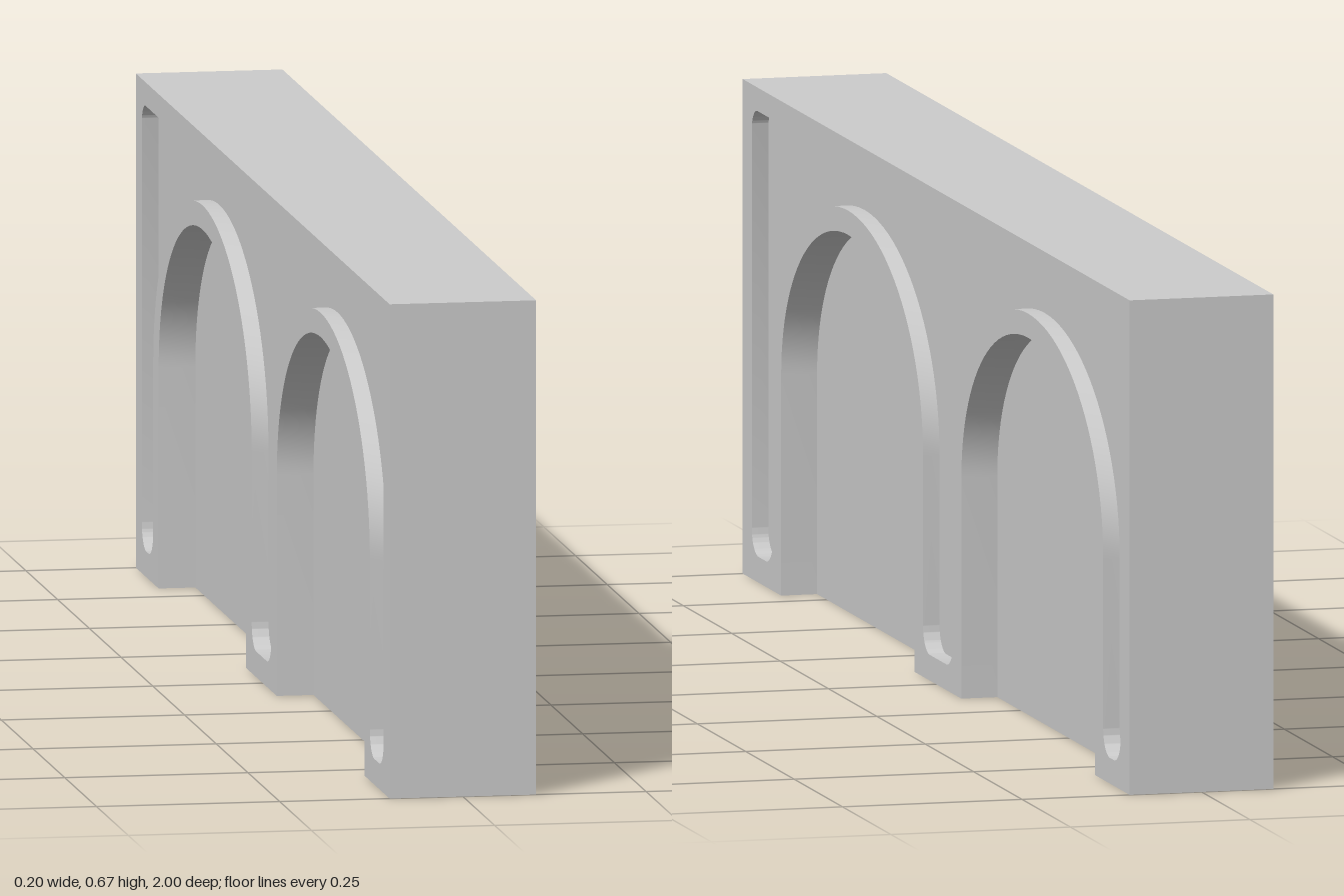
import * as THREE from 'three';
import { toCreasedNormals } from 'three/addons/utils/BufferGeometryUtils.js';

const HEIGHT = 0.673, HALF = 0.1;            // wall height, half thickness
const ARCH_X = 0.05, PANEL_X = 0.077;        // distance of recess floors from the mid-plane
const SPRING = 0.3, SEG = 24;
const CENTRES = [0.456, -0.475];             // arch centres along z
const ARCH = { a: 0.345, h: 0.243 };         // arch opening
const TRIM = { a: 0.388, h: 0.276 };         // outer edge of the raised arch band
const PANEL = { z: 0.953, bottom: 0.035, top: 0.641 };

const material = new THREE.MeshStandardMaterial({ color: 0xcccccc });

function addMesh(parent, name, geometry) {
  const mesh = new THREE.Mesh(geometry, material);
  mesh.name = name;
  parent.add(mesh);
  return mesh;
}

// Wall of a recess: a strip along a counter-clockwise contour, facing inwards
function recessWall(points, top, floor) {
  const pos = [];
  for (let i = 0; i < points.length - 1; i++) {
    const a = points[i], b = points[i + 1];
    if (a.distanceTo(b) < 1e-6) continue;
    pos.push(a.x, a.y, top, b.x, b.y, top, b.x, b.y, floor);
    pos.push(a.x, a.y, top, b.x, b.y, floor, a.x, a.y, floor);
  }
  const geometry = new THREE.BufferGeometry();
  geometry.setAttribute('position', new THREE.Float32BufferAttribute(pos, 3));
  return toCreasedNormals(geometry, 0.6);
}

// Arched opening, standing on the ground
function archShape(c) {
  const s = new THREE.Shape();
  s.moveTo(c + ARCH.a, 0);
  s.lineTo(c + ARCH.a, SPRING);
  s.absellipse(c, SPRING, ARCH.a, ARCH.h, 0, Math.PI, false);
  s.lineTo(c - ARCH.a, 0);
  return s;
}

// Sunken spandrel panel running around the arches and down between them
function panelShape(centres) {
  const s = new THREE.Shape(), P = Math.PI, { z, bottom, top } = PANEL;
  const edges = [-z, ...centres.flatMap(c => [c - TRIM.a, c + TRIM.a]), z];
  for (let i = 0; i < 3; i++) {
    const u0 = edges[2 * i], u1 = edges[2 * i + 1], r = 0.035;
    s.absarc(u0 + r, bottom + r, r, P, 1.5 * P, false);
    s.absarc(u1 - r, bottom + r, r, -P / 2, 0, false);
    if (i < 2) s.absellipse(centres[i], SPRING, TRIM.a, TRIM.h, P, 0, true);
  }
  const r = 0.03;
  s.absarc(z - r, top - r, r, 0, P / 2, false);
  s.absarc(r - z, top - r, r, P / 2, P, false);
  s.closePath();
  return s;
}

// One decorated long side; sign +1 looks to +x, -1 to -x
function makeSide(sign) {
  const side = new THREE.Group();
  side.name = sign > 0 ? 'leftSide' : 'rightSide';
  const centres = CENTRES.map(z => -sign * z).sort((p, q) => p - q);

  const panel = panelShape(centres);
  const face = new THREE.Shape();
  face.moveTo(-1, 0);
  for (const c of centres) {
    face.lineTo(c - ARCH.a, 0);
    face.absellipse(c, SPRING, ARCH.a, ARCH.h, Math.PI, 0, true);
    face.lineTo(c + ARCH.a, 0);
  }
  face.lineTo(1, 0);
  face.lineTo(1, HEIGHT);
  face.lineTo(-1, HEIGHT);
  face.closePath();
  face.holes.push(panel);
  addMesh(side, 'raisedFrame', new THREE.ShapeGeometry(face, SEG)).position.z = HALF;

  addMesh(side, 'panelFloor', new THREE.ShapeGeometry(panel, SEG)).position.z = PANEL_X;
  addMesh(side, 'panelEdge', recessWall(panel.getPoints(SEG), HALF, PANEL_X));

  for (const c of centres) {
    const arch = archShape(c);
    addMesh(side, 'archBack', new THREE.ShapeGeometry(arch, SEG)).position.z = ARCH_X;
    addMesh(side, 'archReveal', recessWall(arch.getPoints(SEG), HALF, ARCH_X));
  }
  side.rotation.y = sign * Math.PI / 2;
  return side;
}

export function createModel() {
  const model = new THREE.Group();
  model.name = 'arcadeWall';
  model.add(makeSide(1), makeSide(-1));

  // Flat top and ends
  const top = addMesh(model, 'top', new THREE.PlaneGeometry(2 * HALF, 2));
  top.rotation.x = -Math.PI / 2;
  top.position.y = HEIGHT;
  for (const sign of [1, -1]) {
    const end = addMesh(model, sign > 0 ? 'frontEnd' : 'backEnd', new THREE.PlaneGeometry(2 * HALF, HEIGHT));
    end.position.set(0, HEIGHT / 2, sign);
    end.rotation.y = sign > 0 ? 0 : Math.PI;
  }

  // Underside, notched at every arch
  const edge = [[HALF, -1]];
  for (const c of [...CENTRES].sort((p, q) => p - q)) {
    edge.push([HALF, c - ARCH.a], [ARCH_X, c - ARCH.a], [ARCH_X, c + ARCH.a], [HALF, c + ARCH.a]);
  }
  edge.push([HALF, 1]);
  const outline = [...edge, ...[...edge].reverse().map(([x, z]) => [-x, z])];
  const plan = new THREE.Shape(outline.map(([x, z]) => new THREE.Vector2(x, z)));
  addMesh(model, 'underside', new THREE.ShapeGeometry(plan)).rotation.x = Math.PI / 2;

  return model;
}
